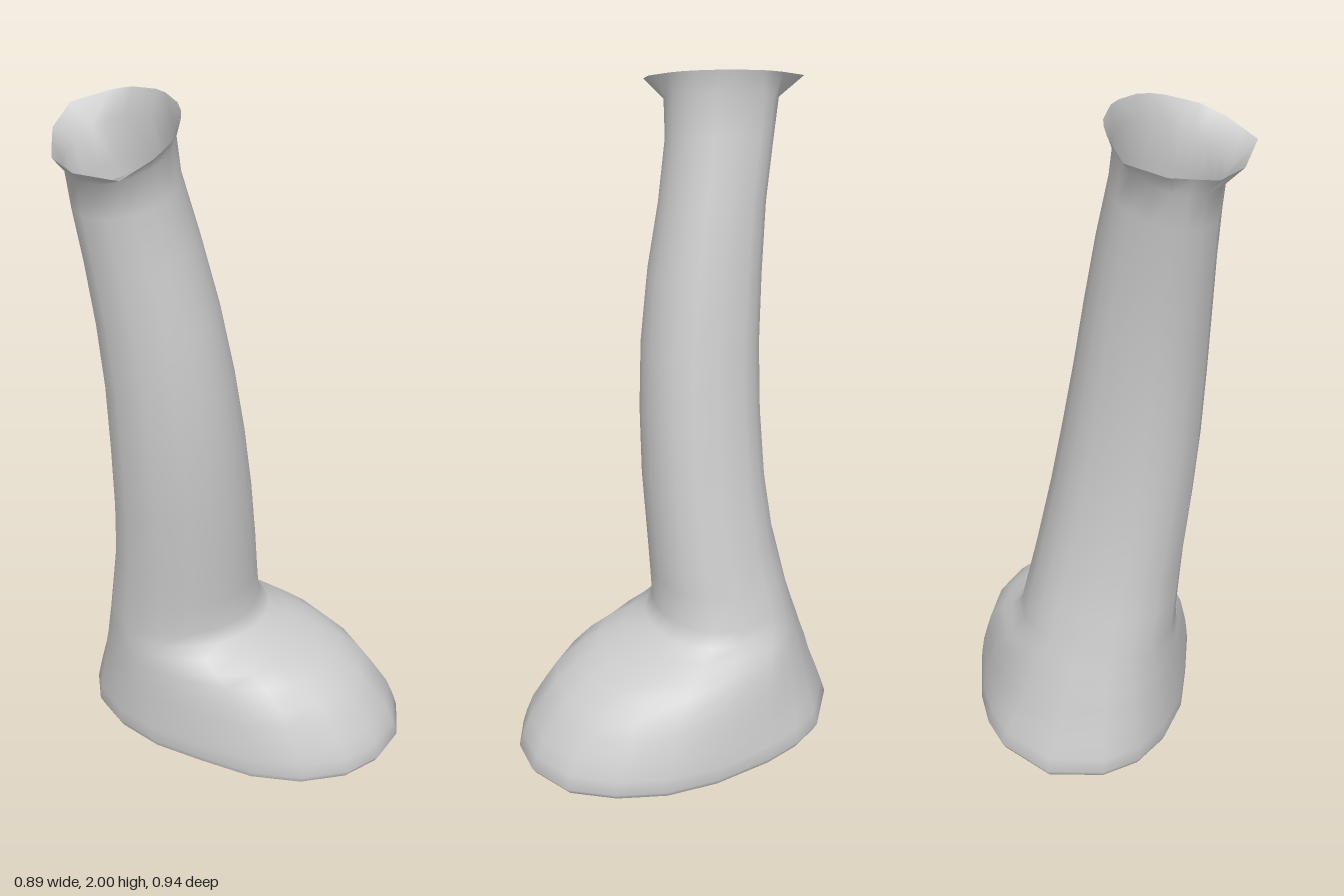
import * as THREE from 'three';

// Outline of the sole and of the flared lip, as [x, z], matched point by point
const sole = [[-0.07, -0.475], [0.11, -0.435], [0.2, -0.37], [0.28, -0.28], [0.38, -0.12], [0.435, 0.03],
  [0.445, 0.18], [0.415, 0.32], [0.315, 0.425], [0.195, 0.47], [0.075, 0.465], [-0.05, 0.4],
  [-0.15, 0.285], [-0.22, 0.13], [-0.28, -0.02], [-0.3, -0.17], [-0.28, -0.3], [-0.215, -0.4]];
const lip = [[-0.25, -0.365], [-0.17, -0.3], [-0.145, -0.27], [-0.13, -0.245], [-0.11, -0.17], [-0.11, -0.13],
  [-0.125, -0.06], [-0.145, -0.02], [-0.17, 0.01], [-0.24, 0.065], [-0.275, 0.073], [-0.31, 0.08],
  [-0.36, 0.073], [-0.41, 0.065], [-0.445, -0.085], [-0.43, -0.2], [-0.39, -0.255], [-0.345, -0.315]];
const angles = sole.map(([x, z]) => Math.atan2(z + 0.03, x - 0.03));

// Shaft sections: y, min x, max x, min z, max z, slope of the ring along x
const shaft = [
  [0.4, -0.295, 0.18, -0.35, 0.067, 0],
  [0.5, -0.297, 0.162, -0.325, 0.073, 0],
  [0.6, -0.3, 0.145, -0.3, 0.08, 0],
  [0.8, -0.315, 0.11, -0.27, 0.095, 0],
  [1.0, -0.33, 0.075, -0.255, 0.1, 0],
  [1.2, -0.342, 0.038, -0.25, 0.095, 0],
  [1.4, -0.357, -0.002, -0.255, 0.075, 0.05],
  [1.6, -0.376, -0.05, -0.265, 0.042, 0.15],
  [1.77, -0.393, -0.1, -0.285, 0.022, 0.3],
  [1.88, -0.403, -0.118, -0.298, 0.025, 0.38],
];
// Foot sections: y, bulge of the toe, flare of the heel
const foot = [[0.02, 1, 1], [0.06, 0.97, 0.9], [0.11, 0.92, 0.76], [0.17, 0.82, 0.58], [0.22, 0.73, 0.47],
  [0.27, 0.57, 0.33], [0.3, 0.42, 0.26], [0.33, 0.22, 0.18], [0.36, 0.06, 0.1]];

function ellipseRing([y, x0, x1, z0, z1, slope]) {
  const rx = (x1 - x0) / 2, rz = (z1 - z0) / 2;
  return angles.map(a => [(x0 + x1) / 2 + rx * Math.cos(a), y + slope * rx * Math.cos(a),
    (z0 + z1) / 2 + rz * Math.sin(a)]);
}

// Blend from the shaft outline to the sole outline, bulging toward the toe
function footRing([y, toe, heel]) {
  const top = ellipseRing([y, -0.295, 0.19, -0.35, 0.065, 0]);
  return sole.map(([x, z], i) => {
    const side = THREE.MathUtils.smoothstep(Math.cos(angles[i] - Math.PI / 4), -0.5, 0.4);
    const w = THREE.MathUtils.lerp(heel, toe, side);
    return [THREE.MathUtils.lerp(top[i][0], x, w), y, THREE.MathUtils.lerp(top[i][2], z, w)];
  });
}

function loft(rings) {
  const n = sole.length, index = [];
  for (let r = 0; r < rings.length - 1; r++) {
    for (let i = 0; i < n; i++) {
      const a = r * n + i, b = r * n + (i + 1) % n;
      index.push(a, a + n, b, b, a + n, b + n);
    }
  }
  const geometry = new THREE.BufferGeometry();
  geometry.setAttribute('position', new THREE.Float32BufferAttribute(rings.flat(2), 3));
  geometry.setIndex(index);
  geometry.computeVertexNormals();
  return geometry;
}

export function createModel() {
  const group = new THREE.Group();
  const grey = new THREE.MeshStandardMaterial({ color: 0xcccccc, side: THREE.DoubleSide });
  grey.name = 'light grey';
  const add = (name, geometry) => {
    const mesh = new THREE.Mesh(geometry, grey);
    mesh.name = name;
    group.add(mesh);
  };

  // Hollow leg: tucked sole edge, bulging foot, leaning shaft and tilted open lip
  const soleEdge = sole.map(([x, z]) => [0.005 + (x - 0.005) * 0.97, 0, z * 0.975]);
  const lipRing = lip.map(([x, z]) => [x, 1.87 + (x + 0.445) * 0.39, z]);
  add('leg', loft([soleEdge, ...foot.map(footRing), ...shaft.map(ellipseRing), lipRing]));

  // Flat underside
  const outline = new THREE.Shape(soleEdge.map(([x, , z]) => new THREE.Vector2(x, z)));
  add('sole', new THREE.ShapeGeometry(outline).rotateX(Math.PI / 2));
  return group;
}
